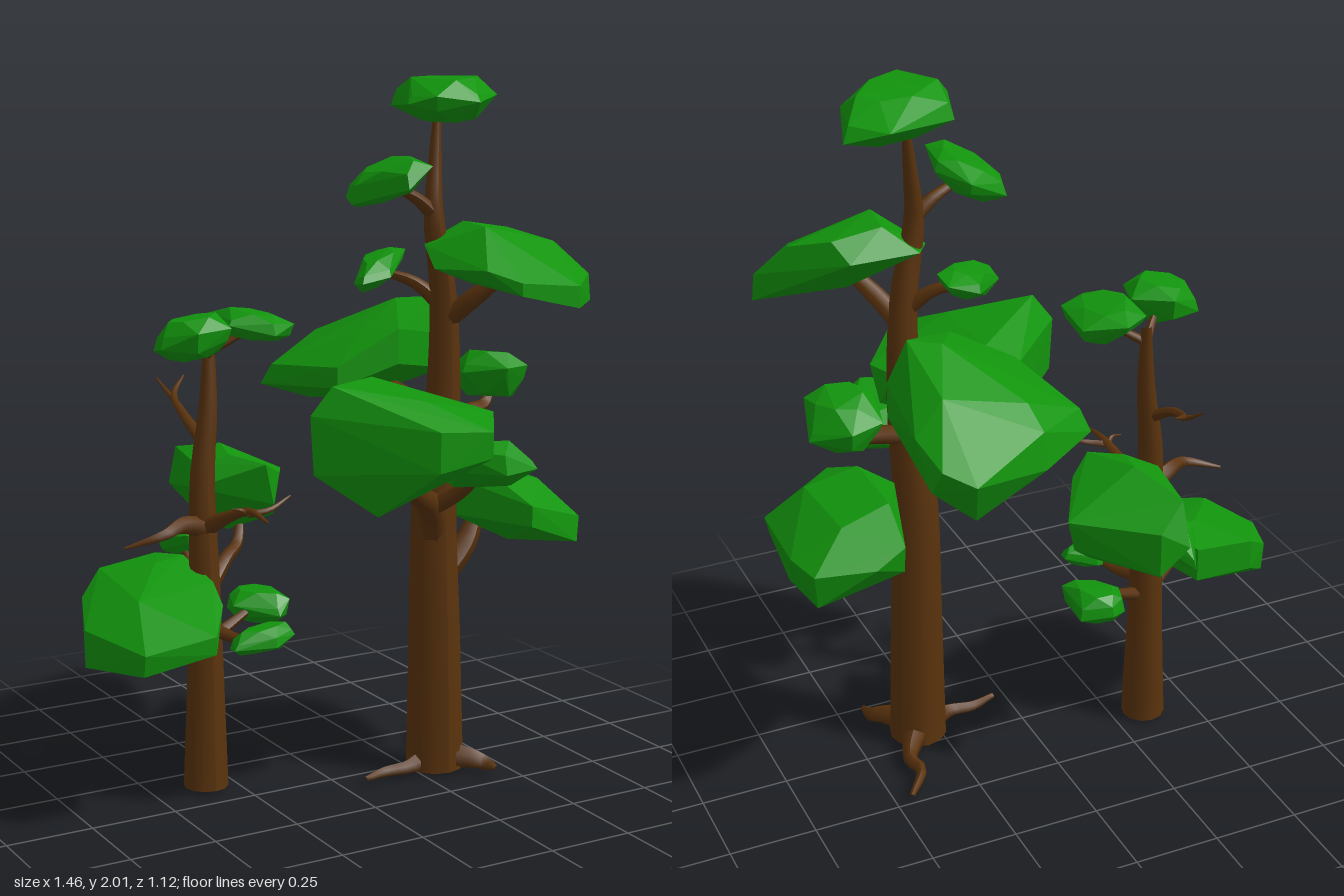
import * as THREE from 'three';
import { ConvexGeometry } from 'three/addons/geometries/ConvexGeometry.js';

const bark = new THREE.MeshStandardMaterial({ color: 0x5a330d });
const leaf = new THREE.MeshStandardMaterial({ color: 0x12940d, flatShading: true });

// Small seeded generator, returns -1..1
function seeded(seed) {
  let s = seed * 7919 + 17;
  return () => {
    s = (s * 16807) % 2147483647;
    return (s / 2147483647) * 2 - 1;
  };
}

// Tapered limb through points [x, y, z, radius]
function limb(name, pts, sides = 7) {
  const curve = new THREE.CatmullRomCurve3(pts.map(p => new THREE.Vector3(p[0], p[1], p[2])));
  const n = (pts.length - 1) * 4;
  const geo = new THREE.TubeGeometry(curve, n, 1, sides);
  const pos = geo.attributes.position, v = new THREE.Vector3();
  for (let i = 0; i <= n; i++) {
    const f = curve.getUtoTmapping(i / n) * (pts.length - 1);
    const k = Math.min(Math.floor(f), pts.length - 2);
    const r = THREE.MathUtils.lerp(pts[k][3], pts[k + 1][3], f - k);
    const c = curve.getPointAt(i / n);
    for (let j = 0; j <= sides; j++) {
      const id = i * (sides + 1) + j;
      v.fromBufferAttribute(pos, id).sub(c).multiplyScalar(r).add(c);
      pos.setXYZ(id, v.x, v.y, v.z);
    }
  }
  geo.computeVertexNormals();
  const mesh = new THREE.Mesh(geo, bark);
  mesh.name = name;
  return mesh;
}

// Large faceted leaf mass around corner points [x, y, z]
function mass(corners) {
  const mesh = new THREE.Mesh(new ConvexGeometry(corners.map(c => new THREE.Vector3(...c))), leaf);
  mesh.name = 'foliage';
  return mesh;
}

// Smaller leaf clump: plan outline [x, z], height range, slopes along x and z
function clump(outline, y0, y1, slopeX, slopeZ, seed) {
  const rnd = seeded(seed), n = outline.length;
  const cx = outline.reduce((a, p) => a + p[0], 0) / n;
  const cz = outline.reduce((a, p) => a + p[1], 0) / n;
  const h = (y1 - y0) * 0.4, pts = [];
  const add = (dx, level, dz) => pts.push([cx + dx, h * level + slopeX * dx + slopeZ * dz, cz + dz]);
  outline.forEach(([x, z], i) => {
    const q = outline[(i + 1) % n];
    // Short wall at each corner, leaning in at the top or the bottom
    const dx = x - cx, dz = z - cz, lean = rnd() > 0;
    const a = lean ? 1 : 0.9, b = lean ? 0.9 : 1;
    add(dx * a, 0.3 + 0.25 * rnd(), dz * a);
    add(dx * b, -0.3 + 0.25 * rnd(), dz * b);
    // Crown and underside rings, set between the outline corners
    const mx = (x + q[0]) / 2 - cx, mz = (z + q[1]) / 2 - cz;
    const t = 0.66 + 0.12 * rnd(), u = 0.68 + 0.12 * rnd();
    add(mx * t, 0.9 + 0.1 * rnd(), mz * t);
    add(mx * u, -0.9 + 0.1 * rnd(), mz * u);
  });
  const lo = Math.min(...pts.map(p => p[1])), hi = Math.max(...pts.map(p => p[1]));
  return mass(pts.map(([x, y, z]) => [x, y0 + (y - lo) / (hi - lo) * (y1 - y0), z]));
}

// Irregular six-sided outline filling a plan rectangle
function patch(x0, x1, z0, z1, seed) {
  const rnd = seeded(seed + 50), pts = [];
  for (let i = 0; i < 6; i++) {
    const a = (i + 0.3 * rnd()) / 6 * Math.PI * 2 + seed;
    pts.push([Math.cos(a), Math.sin(a)]);
  }
  const fit = (k, a, b) => {
    const lo = Math.min(...pts.map(p => p[k])), hi = Math.max(...pts.map(p => p[k]));
    return p => a + (p[k] - lo) / (hi - lo) * (b - a);
  };
  const fx = fit(0, x0, x1), fz = fit(1, z0, z1);
  return pts.map(p => [fx(p), fz(p)]);
}

function base(x, z, r) {
  const mesh = new THREE.Mesh(new THREE.CircleGeometry(r, 12).rotateX(Math.PI / 2), bark);
  mesh.position.set(x, 0.001, z);
  mesh.name = 'trunkBase';
  return mesh;
}

function tallTree() {
  const g = new THREE.Group();
  g.name = 'tallTree';
  g.add(base(0.315, 0.06, 0.084));
  g.add(limb('trunk', [[0.315, 0, 0.06, 0.084], [0.31, 0.4, 0.06, 0.075], [0.305, 0.8, 0.06, 0.064],
    [0.325, 1.1, 0.07, 0.049], [0.315, 1.4, 0.08, 0.038], [0.275, 1.62, 0.09, 0.028],
    [0.29, 1.75, 0.07, 0.02], [0.31, 1.92, 0.05, 0.01]], 12));
  // Roots
  const roots = [
    [[0.28, 0.025, 0.06, 0.035], [0.2, 0.02, 0.09, 0.02], [0.13, 0.018, 0.085, 0.016], [0.05, 0.018, 0.11, 0.008]],
    [[0.33, 0.03, 0.03, 0.04], [0.4, 0.02, -0.09, 0.02], [0.39, 0.02, -0.15, 0.017], [0.46, 0.015, -0.25, 0.008]],
    [[0.33, 0.035, 0.08, 0.045], [0.39, 0.03, 0.14, 0.03], [0.42, 0.02, 0.17, 0.022], [0.43, 0.016, 0.215, 0.008]],
  ];
  roots.forEach(r => g.add(limb('root', r, 6)));
  // Branches
  const branches = [
    [[0.3, 0.66, 0.06, 0.04], [0.25, 0.8, 0.13, 0.04], [0.15, 0.87, 0.2, 0.028], [0.04, 0.97, 0.28, 0.016]],
    [[0.25, 0.8, 0.13, 0.03], [0.29, 0.86, 0.22, 0.022], [0.31, 0.93, 0.3, 0.012]],
    [[0.32, 0.56, 0.06, 0.04], [0.42, 0.66, 0.05, 0.035], [0.48, 0.77, 0.03, 0.018]],
    [[0.33, 1.0, 0.06, 0.03], [0.45, 1.04, 0.02, 0.024], [0.52, 1.05, -0.01, 0.018], [0.56, 1.12, -0.03, 0.012]],
    [[0.32, 1.0, 0.06, 0.04], [0.29, 1.08, -0.08, 0.03], [0.23, 1.14, -0.26, 0.018]],
    [[0.32, 1.32, 0.08, 0.03], [0.37, 1.39, 0.15, 0.028], [0.44, 1.47, 0.22, 0.018]],
    [[0.32, 1.36, 0.08, 0.026], [0.25, 1.43, 0.03, 0.018], [0.17, 1.46, -0.03, 0.01]],
    [[0.28, 1.62, 0.09, 0.024], [0.22, 1.67, 0.09, 0.018], [0.13, 1.71, 0.1, 0.01]],
  ];
  branches.forEach(b => g.add(limb('branch', b)));
  // Small clumps: top, upper side pair, right side, front
  g.add(clump([[0.14, 0.17], [0.2, -0.02], [0.42, -0.13], [0.52, -0.06], [0.46, 0.12], [0.32, 0.25], [0.18, 0.25]],
    1.88, 2, 0, 0, 3));
  g.add(clump(patch(0.02, 0.225, -0.04, 0.25, 2), 1.65, 1.79, 0.45, 0.1, 4));
  g.add(clump([[0.06, 0.02], [0.06, 0.07], [0.15, 0.07], [0.27, -0.05], [0.27, -0.13], [0.18, -0.13]],
    1.41, 1.52, 0.3, 0, 6));
  g.add(clump(patch(0.43, 0.65, -0.15, 0.1, 4), 1.06, 1.21, -0.15, 0.1, 9));
  g.add(clump([[0.19, 0.34], [0.22, 0.19], [0.34, 0.17], [0.43, 0.25], [0.41, 0.42], [0.29, 0.45]],
    0.87, 1.03, -0.15, 0.2, 10));
  // Upper front mass
  g.add(mass([[0.36, 1.603, 0.11], [0.34, 1.6, 0.25], [0.5, 1.58, 0.12], [0.59, 1.545, 0.22], [0.24, 1.54, 0.1],
    [0.28, 1.54, 0.04], [0.47, 1.53, 0.06], [0.25, 1.5, 0.4], [0.21, 1.487, 0.2], [0.32, 1.47, 0.465],
    [0.32, 1.435, 0.465], [0.51, 1.45, 0.46], [0.51, 1.39, 0.46], [0.67, 1.455, 0.28], [0.677, 1.38, 0.28],
    [0.33, 1.44, 0.2], [0.45, 1.43, 0.15]]));
  // Back mass
  g.add(mass([[0.38, 1.365, -0.1], [0.3, 1.36, -0.15], [0.15, 1.28, -0.1], [0.38, 1.3, -0.34], [0.15, 1.25, -0.36],
    [0.2, 1.3, 0.03], [0.2, 1.2, 0.03], [0.44, 1.25, -0.1], [0.44, 1.15, -0.1], [0.47, 1.22, -0.37],
    [0.46, 1.1, -0.45], [0.38, 1.15, -0.56], [0.45, 1.18, -0.5], [0.14, 1.1, -0.46], [0.14, 1.2, -0.44],
    [-0.05, 1.11, -0.33], [-0.03, 1.17, -0.3], [0.02, 1.2, 0], [0.02, 1.14, 0], [0.35, 1.01, -0.48],
    [0.1, 1.06, -0.3], [0.3, 1.07, -0.25]]));
  // Large front mass
  g.add(mass([[-0.185, 1.217, 0.33], [0.06, 1.19, 0.12], [0.05, 1.17, 0.42], [0.3, 1.11, 0.2], [-0.24, 1.14, 0.31],
    [-0.23, 0.98, 0.31], [-0.02, 1.15, 0.06], [-0.02, 1, 0.06], [0.02, 1.11, 0.54], [0.02, 1, 0.54],
    [0.17, 1.1, 0.56], [0.17, 1.03, 0.56], [0.33, 1.1, 0.32], [0.33, 1.01, 0.25], [-0.085, 0.868, 0.4],
    [-0.05, 0.87, 0.22], [0.17, 0.96, 0.18], [0.15, 0.95, 0.4]]));
  // Lower right mass
  g.add(mass([[0.445, 0.89, -0.1], [0.44, 0.88, 0.15], [0.59, 0.857, -0.12], [0.6, 0.85, 0.15], [0.37, 0.86, 0.05],
    [0.37, 0.75, 0.05], [0.45, 0.82, -0.23], [0.45, 0.74, -0.22], [0.54, 0.78, -0.25], [0.7, 0.77, -0.2],
    [0.69, 0.67, -0.19], [0.725, 0.77, -0.08], [0.705, 0.656, 0], [0.7, 0.74, 0.22], [0.68, 0.67, 0.24],
    [0.48, 0.81, 0.3], [0.48, 0.75, 0.3], [0.5, 0.68, 0.15], [0.55, 0.667, -0.1]]));
  return g;
}

function smallTree() {
  const g = new THREE.Group();
  g.name = 'smallTree';
  g.add(base(-0.345, -0.12, 0.064));
  g.add(limb('trunk', [[-0.345, 0, -0.12, 0.064], [-0.34, 0.3, -0.125, 0.053], [-0.34, 0.6, -0.125, 0.044],
    [-0.34, 0.9, -0.13, 0.035], [-0.315, 1.1, -0.14, 0.026], [-0.3, 1.3, -0.16, 0.014]], 12));
  // Leafy branches
  const branches = [
    [[-0.34, 0.42, -0.12, 0.03], [-0.42, 0.48, -0.1, 0.024], [-0.52, 0.54, -0.07, 0.014]],
    [[-0.33, 0.57, -0.13, 0.028], [-0.24, 0.64, -0.19, 0.02], [-0.17, 0.67, -0.25, 0.017], [-0.14, 0.78, -0.3, 0.01]],
    [[-0.33, 0.47, -0.12, 0.022], [-0.29, 0.455, -0.02, 0.015], [-0.26, 0.47, 0.05, 0.009]],
    [[-0.33, 0.42, -0.13, 0.022], [-0.23, 0.46, -0.16, 0.015], [-0.14, 0.5, -0.18, 0.009]],
    [[-0.34, 0.58, -0.13, 0.024], [-0.345, 0.64, -0.2, 0.016], [-0.345, 0.69, -0.27, 0.009]],
    [[-0.305, 1.24, -0.15, 0.014], [-0.35, 1.28, -0.1, 0.011], [-0.41, 1.32, -0.04, 0.007]],
    [[-0.3, 1.25, -0.15, 0.014], [-0.25, 1.28, -0.13, 0.011], [-0.2, 1.31, -0.1, 0.007]],
  ];
  branches.forEach(b => g.add(limb('branch', b)));
  // Bare forked branches
  const bare = [
    [[-0.34, 0.76, -0.12, 0.03], [-0.43, 0.785, -0.08, 0.024], [-0.5, 0.775, -0.04, 0.016], [-0.61, 0.745, -0.065, 0.004]],
    [[-0.34, 0.76, -0.12, 0.03], [-0.31, 0.81, -0.02, 0.017], [-0.295, 0.84, 0.07, 0.011], [-0.295, 0.83, 0.18, 0.003]],
    [[-0.297, 0.83, 0.06, 0.011], [-0.24, 0.84, 0.08, 0.008], [-0.17, 0.87, 0.07, 0.003]],
    [[-0.297, 0.83, 0.05, 0.01], [-0.32, 0.845, 0.07, 0.006], [-0.345, 0.85, 0.06, 0.003]],
    [[-0.335, 1.0, -0.13, 0.02], [-0.345, 1.06, -0.23, 0.014], [-0.325, 1.1, -0.34, 0.01], [-0.26, 1.14, -0.41, 0.003]],
    [[-0.33, 1.09, -0.33, 0.009], [-0.335, 1.11, -0.37, 0.006], [-0.345, 1.14, -0.41, 0.003]],
  ];
  bare.forEach(b => g.add(limb('bareBranch', b, 6)));
  // Small clumps: top pair, back, low front, low left
  g.add(clump(patch(-0.515, -0.3, -0.14, 0.06, 6), 1.255, 1.38, 0.1, 0, 14));
  g.add(clump(patch(-0.3, -0.1, -0.24, 0.04, 7), 1.28, 1.375, -0.15, 0, 15));
  g.add(clump([[-0.41, -0.27], [-0.345, -0.41], [-0.28, -0.3], [-0.29, -0.19], [-0.36, -0.19]], 0.64, 0.74, 0, 0.2, 16));
  g.add(clump(patch(-0.35, -0.16, 0.0, 0.12, 9), 0.43, 0.51, 0.12, 0, 17));
  g.add(clump(patch(-0.22, -0.06, -0.3, -0.1, 10), 0.44, 0.535, 0, 0, 18));
  // Low right mass
  g.add(mass([[-0.73, 0.53, -0.07], [-0.73, 0.425, -0.07], [-0.66, 0.57, -0.25], [-0.66, 0.48, -0.24],
    [-0.58, 0.63, -0.31], [-0.58, 0.54, -0.31], [-0.4, 0.65, -0.32], [-0.4, 0.55, -0.32], [-0.37, 0.667, -0.2],
    [-0.465, 0.66, -0.18], [-0.35, 0.62, -0.05], [-0.35, 0.53, -0.05], [-0.37, 0.58, 0.05], [-0.46, 0.54, 0.19],
    [-0.46, 0.49, 0.19], [-0.66, 0.51, 0.17], [-0.66, 0.45, 0.16], [-0.6, 0.61, 0], [-0.5, 0.48, 0]]));
  // Back mass
  g.add(mass([[-0.2, 0.955, -0.3], [-0.22, 0.94, -0.2], [-0.3, 0.91, -0.25], [-0.32, 0.85, -0.22], [-0.26, 0.92, -0.47],
    [-0.26, 0.8, -0.52], [-0.17, 0.86, -0.52], [-0.17, 0.73, -0.52], [0.02, 0.85, -0.34], [0, 0.76, -0.34],
    [-0.08, 0.88, -0.16], [-0.15, 0.92, -0.11], [-0.12, 0.8, -0.12], [-0.08, 0.75, -0.2], [-0.175, 0.695, -0.3],
    [-0.25, 0.73, -0.3], [-0.05, 0.72, -0.33]]));
  return g;
}

export function createModel() {
  const model = new THREE.Group();
  model.name = 'treePair';
  model.add(tallTree(), smallTree());
  return model;
}
